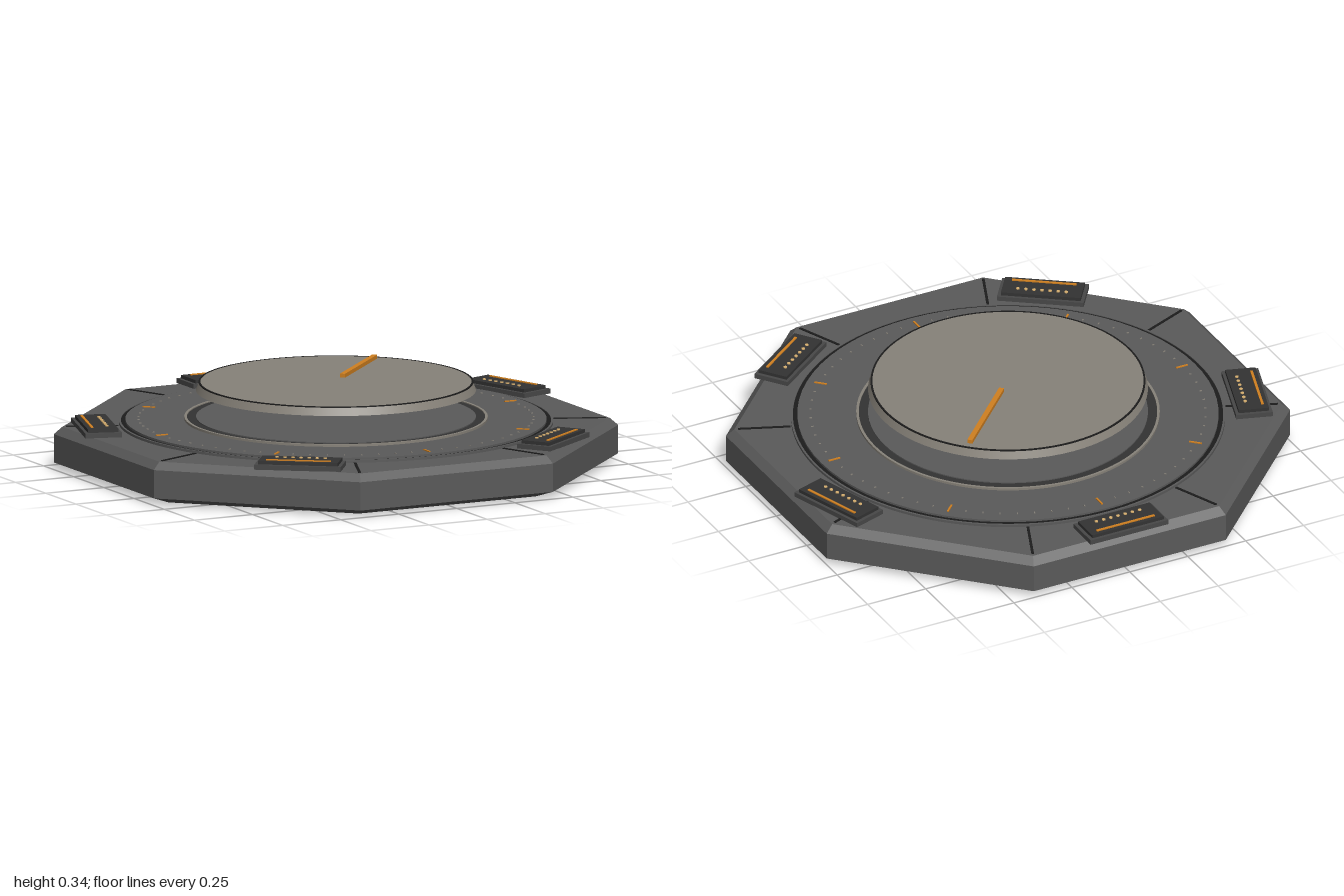
import * as THREE from 'three';

const mat = (name, color, flatShading = false) => {
  const m = new THREE.MeshStandardMaterial({ color, flatShading });
  m.name = name;
  return m;
};

export function createModel() {
  const root = new THREE.Group();
  root.name = 'dialPlatform';

  const bodyGrey = mat('body grey', 0x5a5a5a, true);
  const deckGrey = mat('deck grey', 0x5a5a5a);
  const panelGrey = mat('panel charcoal', 0x484848);
  const darkGrey = mat('dark charcoal', 0x333333);
  const black = mat('seam black', 0x1c1c1c);
  const stone = mat('warm stone', 0x878279);
  const orange = mat('orange', 0xd08020);
  const tan = mat('pale amber', 0xd8b070);

  const add = (parent, name, geometry, material, x = 0, y = 0, z = 0) => {
    const mesh = new THREE.Mesh(geometry, material);
    mesh.name = name;
    mesh.position.set(x, y, z);
    parent.add(mesh);
    return mesh;
  };
  const box = (parent, name, w, y0, y1, d, material, x = 0, z = 0) =>
    add(parent, name, new THREE.BoxGeometry(w, y1 - y0, d), material, x, (y0 + y1) / 2, z);
  const lathe = (points, sides, start = 0) =>
    new THREE.LatheGeometry(points.map(([r, y]) => new THREE.Vector2(r, y)), sides, start);
  // Ring with crisp edges, extruded upward from y0 to y1
  const ring = (name, inner, outer, y0, y1, material) => {
    const shape = new THREE.Shape().absarc(0, 0, outer, 0, Math.PI * 2);
    shape.holes.push(new THREE.Path().absarc(0, 0, inner, 0, Math.PI * 2, true));
    const g = new THREE.ExtrudeGeometry(shape, { depth: y1 - y0, bevelEnabled: false, curveSegments: 64 });
    g.rotateX(-Math.PI / 2);
    return add(root, name, g, material, 0, y0, 0);
  };
  const disc = (name, rTop, rBottom, y0, y1, material) =>
    add(root, name, new THREE.CylinderGeometry(rTop, rBottom, y1 - y0, 72), material, 0, (y0 + y1) / 2, 0);

  // Chamfered octagonal base
  const k = 1 / Math.cos(Math.PI / 8);
  const profile = [[0, 0], [0.92, 0], [1, 0.028], [1, 0.138], [0.97, 0.166], [0, 0.166]];
  add(root, 'octagonBase', lathe(profile.map(([r, y]) => [r * k, y]), 8, Math.PI / 8), bodyGrey);

  // Seams running to each corner
  for (let i = 0; i < 8; i++) {
    const pivot = new THREE.Group();
    pivot.name = 'cornerSeam';
    pivot.rotation.y = Math.PI / 8 + (i * Math.PI) / 4;
    box(pivot, 'seamStrip', 0.01, 0.164, 0.169, 0.2, black, 0, 0.935);
    root.add(pivot);
  }

  // Round deck and its border rings
  ring('deckOuterTrim', 0.822, 0.83, 0.16, 0.176, deckGrey);
  ring('deckGroove', 0.8, 0.822, 0.16, 0.173, black);
  disc('deck', 0.805, 0.805, 0.16, 0.181, deckGrey);

  // Scale: fine dots with eight longer marks
  for (let i = 0; i < 72; i++) {
    const major = i % 9 === 0;
    const pivot = new THREE.Group();
    pivot.name = major ? 'majorMark' : 'minorMark';
    pivot.rotation.y = (i * Math.PI) / 36;
    if (major) box(pivot, 'markStrip', 0.007, 0.18, 0.185, 0.05, orange, 0, 0.75);
    else box(pivot, 'markDot', 0.004, 0.18, 0.184, 0.009, stone, 0, 0.755);
    root.add(pivot);
  }

  // Socket beneath the floating dial
  ring('socketRim', 0.57, 0.58, 0.178, 0.19, stone);
  ring('socketGroove', 0.535, 0.57, 0.178, 0.186, darkGrey);
  disc('socketFloor', 0.535, 0.535, 0.178, 0.19, deckGrey);

  // Floating dial with bevelled edge, inlaid ring and pointer
  disc('dial', 0.522, 0.535, 0.292, 0.325, stone);
  ring('dialEdgeLine', 0.518, 0.525, 0.322, 0.326, black);
  const pointer = box(root, 'pointer', 0.41, 0.324, 0.34, 0.02, orange, 0.203, -0.203);
  pointer.rotation.y = Math.PI / 4;

  // Five control panels around the edge
  for (let i = 0; i < 5; i++) {
    const panel = new THREE.Group();
    panel.name = 'controlPanel';
    panel.rotation.y = (i * Math.PI * 2) / 5;
    const z = -0.927;
    box(panel, 'panelBase', 0.335, 0.165, 0.184, 0.142, panelGrey, 0, z);
    box(panel, 'panelFace', 0.308, 0.184, 0.197, 0.118, darkGrey, 0, z);
    box(panel, 'lightBar', 0.25, 0.194, 0.201, 0.01, orange, 0, z - 0.038);
    for (let j = -3; j <= 3; j++) {
      const dot = new THREE.CylinderGeometry(0.007, 0.007, 0.006, 10);
      add(panel, 'indicator', dot, tan, j * 0.031, 0.198, z + 0.024);
    }
    root.add(panel);
  }
  return root;
}
